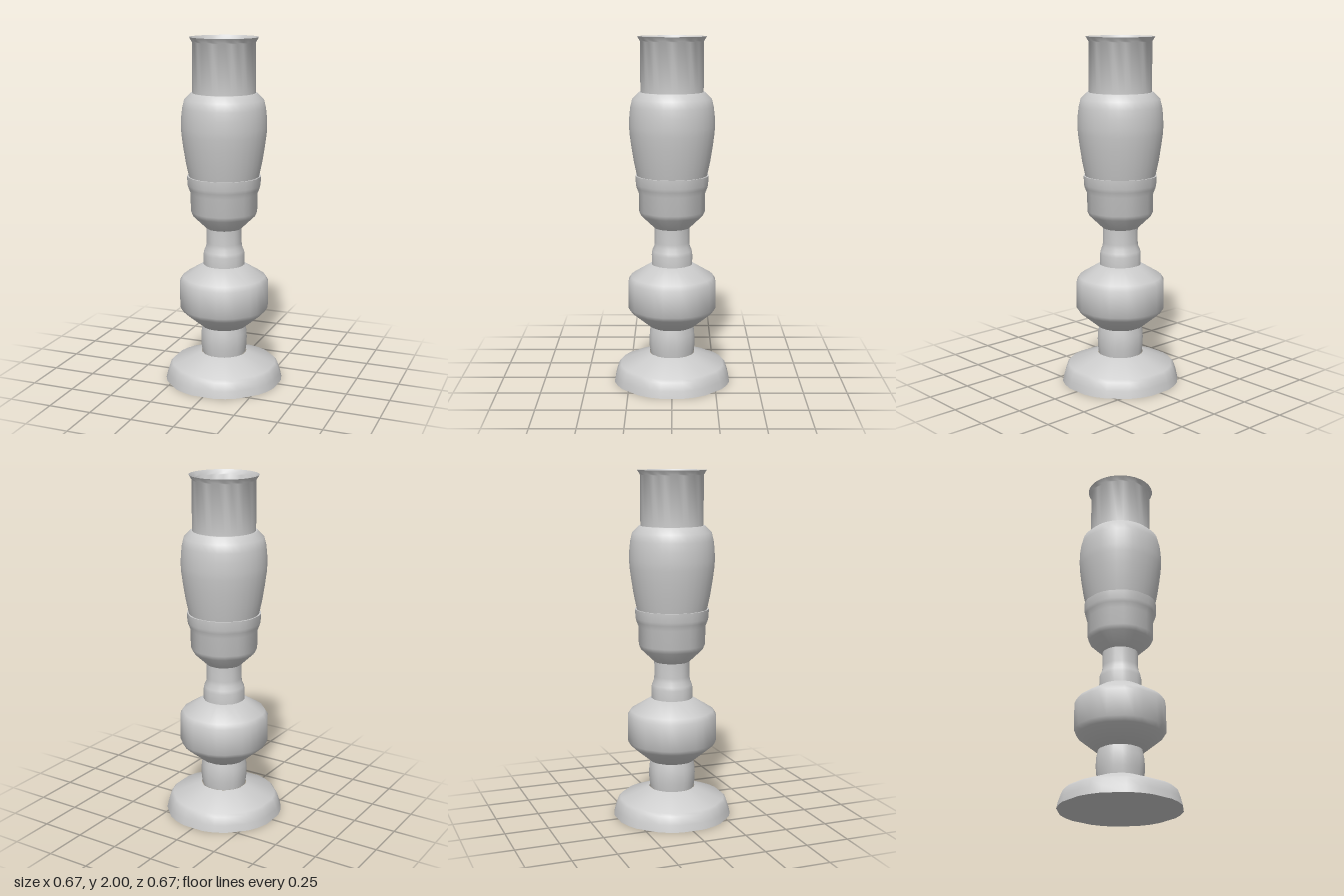
import * as THREE from 'three';
import { toCreasedNormals } from 'three/addons/utils/BufferGeometryUtils.js';

const CREASE = 0.75;

// Ring angles of the turned base parts: 32 steps with every fourth one skipped,
// which leaves eight wide facets with narrow ones between them.
const FACET_ANGLES = [];
for (let k = 1; k <= 33; k++) {
  if (k % 4 !== 0) FACET_ANGLES.push((k * Math.PI) / 16);
}
const FLAT = Math.cos(Math.PI / 16); // distance to a wide facet / corner radius

const toPoints = (profile, scale = 1) => profile.map(([r, y]) => new THREE.Vector2(r * scale, y));

function addMesh(group, name, geometry, side = THREE.FrontSide) {
  const material = new THREE.MeshStandardMaterial({ color: 0xcccccc, side });
  const mesh = new THREE.Mesh(toCreasedNormals(geometry, CREASE), material);
  mesh.name = name;
  group.add(mesh);
}

// Profile radii are measured to the wide facets
function facetedLathe(profile) {
  const points = toPoints(profile, 1 / FLAT);
  const geometry = new THREE.LatheGeometry(points, FACET_ANGLES.length - 1);
  const position = geometry.attributes.position;
  FACET_ANGLES.forEach((angle, i) => points.forEach((p, j) => {
    position.setXYZ(i * points.length + j, p.x * Math.sin(angle), p.y, p.x * Math.cos(angle));
  }));
  return geometry;
}

export function createModel() {
  const group = new THREE.Group();
  group.name = 'candlestick';

  // Foot with sloped top and closed underside
  addMesh(group, 'foot', facetedLathe([
    [0, 0], [0.336, 0], [0.327, 0.04], [0.312, 0.085], [0.298, 0.1], [0.13, 0.167],
  ]));

  // Short stem above the foot
  addMesh(group, 'stem', facetedLathe([
    [0.125, 0.165], [0.131, 0.21], [0.132, 0.25], [0.13, 0.29], [0.122, 0.33],
  ]));

  // Rounded knob
  addMesh(group, 'knob', facetedLathe([
    [0.12, 0.33], [0.13, 0.33], [0.235, 0.418], [0.252, 0.445],
    [0.252, 0.6], [0.235, 0.627], [0.118, 0.7], [0.1, 0.7],
  ]));

  // Narrow neck with a collar at its foot
  addMesh(group, 'neck', facetedLathe([
    [0.117, 0.7], [0.117, 0.76], [0.113, 0.78], [0.102, 0.805], [0.1, 0.83], [0.1, 0.915],
  ]));

  // Lower cup with a flared lip
  addMesh(group, 'cup', facetedLathe([
    [0.09, 0.915], [0.1, 0.915], [0.175, 0.988], [0.187, 1.015], [0.188, 1.12],
    [0.2, 1.15], [0.205, 1.17], [0.207, 1.22], [0.19, 1.22],
  ]));

  // Vase-shaped upper body
  addMesh(group, 'upperBody', new THREE.LatheGeometry(toPoints([
    [0.18, 1.12], [0.201, 1.22], [0.218, 1.3], [0.232, 1.39], [0.241, 1.46],
    [0.243, 1.5], [0.241, 1.56], [0.235, 1.61], [0.224, 1.655], [0.186, 1.692], [0.175, 1.692],
  ]), 32));

  // Open candle socket with flared rim
  addMesh(group, 'socket', new THREE.LatheGeometry(toPoints([
    [0, 1.692], [0.178, 1.692], [0.178, 1.972], [0.181, 1.978], [0.195, 2],
  ]), 32), THREE.DoubleSide);

  return group;
}
